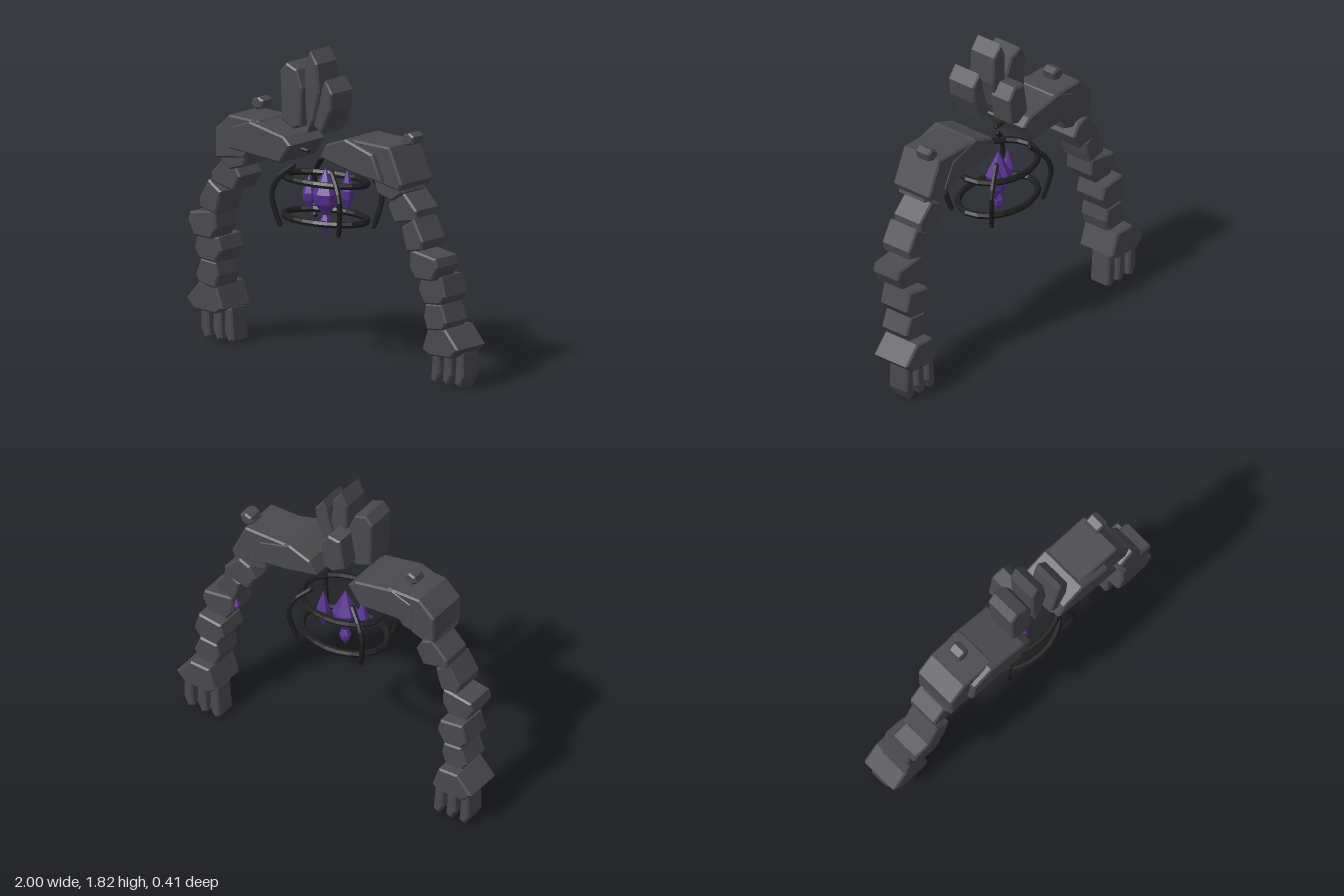
import * as THREE from 'three';

const rockMat = new THREE.MeshStandardMaterial({ name: 'darkRock', color: 0x4a4a4e });
const crystalMat = new THREE.MeshStandardMaterial({ name: 'purpleCrystal', color: 0x5a3392 });
const cageMat = new THREE.MeshStandardMaterial({ name: 'blackIron', color: 0x1e1e1e });

export function createModel() {
  const model = new THREE.Group();
  model.name = 'rockGolem';

  const add = (geometry, material, name, parent = model) => {
    // flat facets for everything
    const flat = geometry.index ? geometry.toNonIndexed() : geometry;
    flat.computeVertexNormals();
    const mesh = new THREE.Mesh(flat, material);
    mesh.name = name;
    parent.add(mesh);
    return mesh;
  };

  // A chipped stone: polygon outline extruded from z0 to z1 with a small bevel
  const rock = (name, points, z0, z1, parent) => {
    const bevel = 0.01;
    const shape = new THREE.Shape(points.map(([x, y]) => new THREE.Vector2(x, y)));
    const geometry = new THREE.ExtrudeGeometry(shape, {
      depth: z1 - z0 - 2 * bevel, bevelThickness: bevel, bevelSize: bevel,
      bevelOffset: -bevel, bevelSegments: 1,
    });
    geometry.translate(0, 0, z0 + bevel);
    return add(geometry, rockMat, name, parent);
  };

  // Head shards
  const head = new THREE.Group();
  head.name = 'head';
  model.add(head);
  rock('headShardRight', [[-0.21, 1.69], [-0.165, 1.74], [-0.09, 1.71], [-0.05, 1.61], [-0.06, 1.39], [-0.11, 1.37], [-0.2, 1.41]], -0.03, 0.16, head);
  rock('headShardCentre', [[0, 1.83], [0.055, 1.76], [0.07, 1.6], [0.03, 1.44], [-0.015, 1.36], [-0.035, 1.5], [-0.04, 1.75]], -0.03, 0.15, head);
  rock('headShardLeft', [[0.12, 1.64], [0.145, 1.69], [0.2, 1.62], [0.19, 1.52], [0.12, 1.38], [0.06, 1.42], [0.1, 1.55]], 0, 0.19, head);
  rock('headShardBack', [[-0.1, 1.41], [-0.02, 1.36], [0.04, 1.38], [0.06, 1.53], [0.01, 1.6], [-0.07, 1.59]], -0.145, 0, head);

  // Shoulders
  rock('leftInnerShoulder', [[0.115, 1.25], [0.16, 1.33], [0.3, 1.38], [0.5, 1.32], [0.57, 1.17], [0.33, 1.2]], -0.11, 0.2);
  rock('leftOuterShoulder', [[0.3, 1.375], [0.6, 1.37], [0.69, 1.17], [0.67, 1.13], [0.46, 1.17], [0.28, 1.28]], -0.105, 0.165);
  rock('rightInnerShoulder', [[-0.1, 1.28], [-0.15, 1.325], [-0.4, 1.375], [-0.53, 1.33], [-0.555, 1.2], [-0.18, 1.17]], -0.11, 0.2);
  rock('rightOuterShoulder', [[-0.68, 1.29], [-0.58, 1.38], [-0.37, 1.375], [-0.32, 1.32], [-0.47, 1.15], [-0.68, 1.12]], -0.105, 0.165);

  // Loose pebbles above the shoulders
  const pebble = [[-0.045, -0.01], [-0.03, 0.025], [0.01, 0.04], [0.045, 0.02], [0.035, -0.025], [-0.01, -0.035]];
  rock('leftPebble', pebble.map(([x, y]) => [x + 0.615, y + 1.395]), -0.07, 0.03);
  rock('rightPebble', pebble.map(([x, y]) => [x - 0.475, y + 1.44]), -0.04, 0.05);

  // Arm stones from shoulder to hand: name, outline, back z, front z
  const armStones = [
    ['armpitStone', [[0.46, 1.17], [0.66, 1.17], [0.68, 1.12], [0.59, 1.06], [0.49, 1.09]], -0.06, 0.14],
    ['upperArm', [[0.54, 1.02], [0.58, 1.09], [0.65, 1.12], [0.75, 1.02], [0.75, 0.965], [0.59, 0.93]], -0.09, 0.11],
    ['elbow', [[0.66, 0.92], [0.75, 0.98], [0.82, 0.86], [0.81, 0.81], [0.7, 0.785], [0.68, 0.84]], -0.07, 0.135],
    ['upperForearm', [[0.71, 0.8], [0.9, 0.77], [0.915, 0.72], [0.87, 0.64], [0.75, 0.635], [0.705, 0.7]], -0.07, 0.12],
    ['lowerForearm', [[0.74, 0.635], [0.89, 0.655], [0.92, 0.545], [0.88, 0.495], [0.765, 0.485], [0.72, 0.56]], -0.14, 0.06],
    ['wrist', [[0.765, 0.485], [0.88, 0.495], [0.92, 0.395], [0.89, 0.35], [0.775, 0.335], [0.75, 0.41]], -0.14, 0.05],
    ['hand', [[0.775, 0.35], [0.9, 0.355], [0.995, 0.25], [0.94, 0.195], [0.78, 0.19], [0.73, 0.22]], -0.205, 0.04],
  ];
  const finger = [[0.015, 0.21], [0.065, 0.21], [0.068, 0.07], [0.035, 0.01], [0, 0.03]];
  for (const x0 of [0.72, 0.805, 0.895]) {
    armStones.push(['finger', finger.map(([x, y]) => [x + x0, y]), -0.18, -0.045]);
  }
  for (const side of [1, -1]) {
    const arm = new THREE.Group();
    arm.name = side > 0 ? 'leftArm' : 'rightArm';
    model.add(arm);
    for (const [name, points, z0, z1] of armStones) {
      rock(name, points.map(([x, y]) => [side > 0 ? x : -x - 0.008, y]), z0, z1, arm);
    }
  }

  // Rib cage: two oval hoops and four bent struts
  const cage = new THREE.Group();
  cage.name = 'ribCage';
  model.add(cage);
  const tube = (name, points, radius, closed, steps) => {
    const curve = new THREE.CatmullRomCurve3(points.map((p) => new THREE.Vector3(...p)), closed);
    const mesh = add(new THREE.TubeGeometry(curve, steps, radius, 6, closed), cageMat, name, cage);
    if (closed) return;
    for (const t of [0, 1]) { // end caps
      const cap = add(new THREE.SphereGeometry(radius, 6, 4), cageMat, name + 'End', cage);
      cap.position.copy(curve.getPoint(t));
    }
    return mesh;
  };
  for (const [y, tilt] of [[1.07, 0.014], [0.855, 0.005]]) {
    const points = [];
    for (let i = 0; i < 10; i++) {
      const a = (i / 10) * Math.PI * 2;
      points.push([0.265 * Math.cos(a) - 0.008, y + tilt * Math.sin(a), 0.185 * Math.sin(a)]);
    }
    tube('hoop', points, 0.019, true, 20);
  }
  for (const sx of [1, -1]) {
    for (const sz of [1, -1]) {
      tube('strut', [[sx * 0.14, 1.15, sz * 0.12], [sx * 0.22, 1.07, sz * 0.165], [sx * 0.25, 0.985, sz * 0.18],
        [sx * 0.235, 0.88, sz * 0.165], [sx * 0.215, 0.81, sz * 0.15]], 0.015, false, 8);
    }
    tube('collarRod', [[sx * 0.075, 1.235, 0.07], [sx * 0.13, 1.24, 0.07], [sx * 0.2, 1.24, 0.07]], 0.012, false, 4);
  }

  // Crystals: six-sided spindles given by centre, half height and radius
  const crystal = (name, x, y, z, half, r) => {
    const profile = [[0, -half], [r * 0.85, -half * 0.4], [r, 0], [0, half]].map((p) => new THREE.Vector2(...p));
    add(new THREE.LatheGeometry(profile, 6), crystalMat, name).position.set(x, y, z);
  };
  crystal('heartCrystal', -0.01, 0.99, 0, 0.145, 0.075);
  crystal('lowerCrystal', -0.01, 0.83, 0, 0.075, 0.034);
  crystal('rightCrystal', -0.112, 0.985, 0.02, 0.105, 0.04);
  crystal('leftCrystal', 0.09, 1.01, -0.07, 0.125, 0.04);
  crystal('armCrystal', 0.71, 0.735, -0.03, 0.045, 0.026);

  return model;
}
